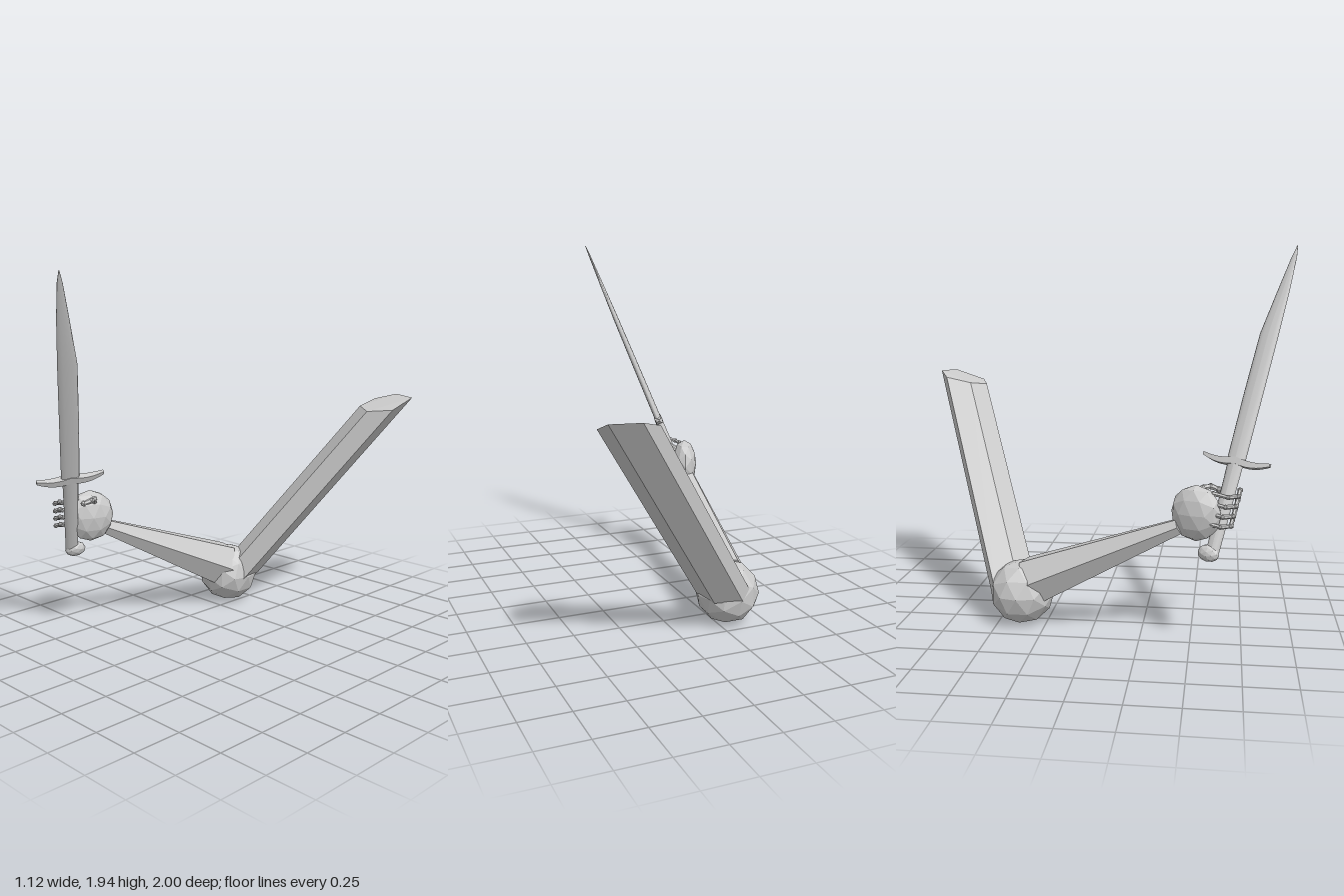
import * as THREE from 'three';
import { ConvexGeometry } from 'three/addons/geometries/ConvexGeometry.js';

const V = (x, y, z) => new THREE.Vector3(x, y, z);
const flat = new THREE.MeshStandardMaterial({ color: 0xcccccc, flatShading: true });
const smooth = new THREE.MeshStandardMaterial({ color: 0xcccccc });

function add(parent, name, geometry, material = flat) {
  const mesh = new THREE.Mesh(geometry, material);
  mesh.name = name;
  parent.add(mesh);
  return mesh;
}

// Tapered prism running from point a to point b
function limb(parent, name, a, b, ra, rb, sides, spin = 0) {
  const dir = b.clone().sub(a);
  const geo = new THREE.CylinderGeometry(rb, ra, dir.length(), sides).rotateY(spin);
  const mesh = add(parent, name, geo);
  mesh.position.copy(a).add(b).multiplyScalar(0.5);
  mesh.quaternion.setFromUnitVectors(V(0, 1, 0), dir.normalize());
}

// Chain of small prisms with a knob at each joint
function finger(parent, name, points, r) {
  const group = new THREE.Group();
  group.name = name;
  points.forEach((p, i) => {
    add(group, 'joint', new THREE.IcosahedronGeometry(r * 1.2, 0)).position.copy(p);
    if (i) limb(group, 'segment', points[i - 1], p, r, r * 0.8, 6);
  });
  parent.add(group);
}

function createArm() {
  const arm = new THREE.Group();
  arm.name = 'arm';

  // Upper arm: six-sided beam with a tilted end
  const end = [
    V(0.42, 1.245, -1.0), V(0.56, 1.24, -0.95), V(0.55, 1.185, -0.78),
    V(0.415, 1.17, -0.73), V(0.315, 1.185, -0.8), V(0.315, 1.215, -0.94),
  ];
  const centre = V(0.43, 1.21, -0.87);
  const root = V(-0.31, 0.13, -0.41);
  const inner = end.map((p) => p.clone().sub(centre).add(root));
  add(arm, 'upperArm', new ConvexGeometry([...end, ...inner]));

  add(arm, 'elbow', new THREE.IcosahedronGeometry(0.168, 1)).position.set(-0.31, 0.168, -0.375);
  limb(arm, 'forearm', V(-0.315, 0.225, -0.32), V(-0.46, 0.575, 0.44), 0.135, 0.042, 6, 0.3);
  return arm;
}

function createHand() {
  const hand = new THREE.Group();
  hand.name = 'hand';

  const palm = add(hand, 'palm', new THREE.IcosahedronGeometry(1, 1).scale(0.074, 0.14, 0.13));
  palm.position.set(-0.468, 0.645, 0.522);
  palm.rotation.y = -0.36;

  // Fingers curl beside the grip, following its slope
  for (let i = 0; i < 4; i++) {
    const y = 0.745 - i * 0.045;
    const x = -0.38 + (y - 0.89) * 0.348;
    const z = 0.71 + (y - 0.89) * 0.25;
    finger(hand, 'finger', [
      V(x - 0.045, y, z - 0.07), V(x - 0.075, y - 0.01, z),
      V(x - 0.068, y - 0.005, z + 0.05), V(x - 0.015, y + 0.015, z + 0.058),
    ], 0.012);
  }
  finger(hand, 'thumb', [
    V(-0.43, 0.72, 0.52), V(-0.385, 0.755, 0.555), V(-0.36, 0.757, 0.59), V(-0.375, 0.745, 0.63),
  ], 0.015);
  return hand;
}

// Sword: local y runs to the tip, local x across the blade
function createSword() {
  const sword = new THREE.Group();
  sword.name = 'sword';

  // Oval sections: height, sideways shift, half width, half thickness
  const sections = (name, rows) => {
    const geo = new THREE.CylinderGeometry(1, 1, rows.length - 1, 12, rows.length - 1);
    const pos = geo.attributes.position;
    for (let i = 0; i < pos.count; i++) {
      const [h, shift, w, t] = rows[Math.round(pos.getY(i) + (rows.length - 1) / 2)];
      pos.setXYZ(i, shift + pos.getX(i) * w, h, pos.getZ(i) * t);
    }
    geo.computeVertexNormals();
    add(sword, name, geo, smooth);
  };
  sections('blade', [
    [-0.01, 0, 0.048, 0.02], [0.35, 0, 0.05, 0.018], [0.66, 0.002, 0.049, 0.015],
    [0.9, 0.018, 0.031, 0.01], [1.08, 0.028, 0.014, 0.005], [1.142, 0.03, 0.002, 0.002],
  ]);
  sections('grip', [[-0.46, 0, 0.034, 0.022], [-0.2, 0, 0.038, 0.024], [0, 0, 0.042, 0.022]]);

  // Wavy cross guard, thinner towards both ends
  const guard = new THREE.BoxGeometry(0.35, 0.034, 0.045, 12, 1, 1);
  const pos = guard.attributes.position;
  for (let i = 0; i < pos.count; i++) {
    const u = pos.getX(i) / 0.175;
    const taper = 1 - 0.55 * u * u;
    const wave = 0.008 * u * u - 0.012 * Math.sin(Math.PI * Math.abs(u));
    pos.setXYZ(i, pos.getX(i), pos.getY(i) * taper + wave, pos.getZ(i) * taper);
  }
  guard.computeVertexNormals();
  add(sword, 'crossGuard', guard);

  add(sword, 'pommel', new THREE.IcosahedronGeometry(1, 1).scale(0.056, 0.042, 0.036)).position.set(-0.018, -0.468, 0);

  const along = V(0.355, 1, 0.25).normalize();
  const across = V(-0.4, -0.1, 0.91);
  across.addScaledVector(along, -across.dot(along)).normalize();
  const through = across.clone().cross(along);
  sword.quaternion.setFromRotationMatrix(new THREE.Matrix4().makeBasis(across, along, through));
  sword.position.set(-0.376, 0.89, 0.71);
  return sword;
}

export function createModel() {
  const model = new THREE.Group();
  model.name = 'armWithSword';
  model.add(createArm(), createHand(), createSword());
  return model;
}
